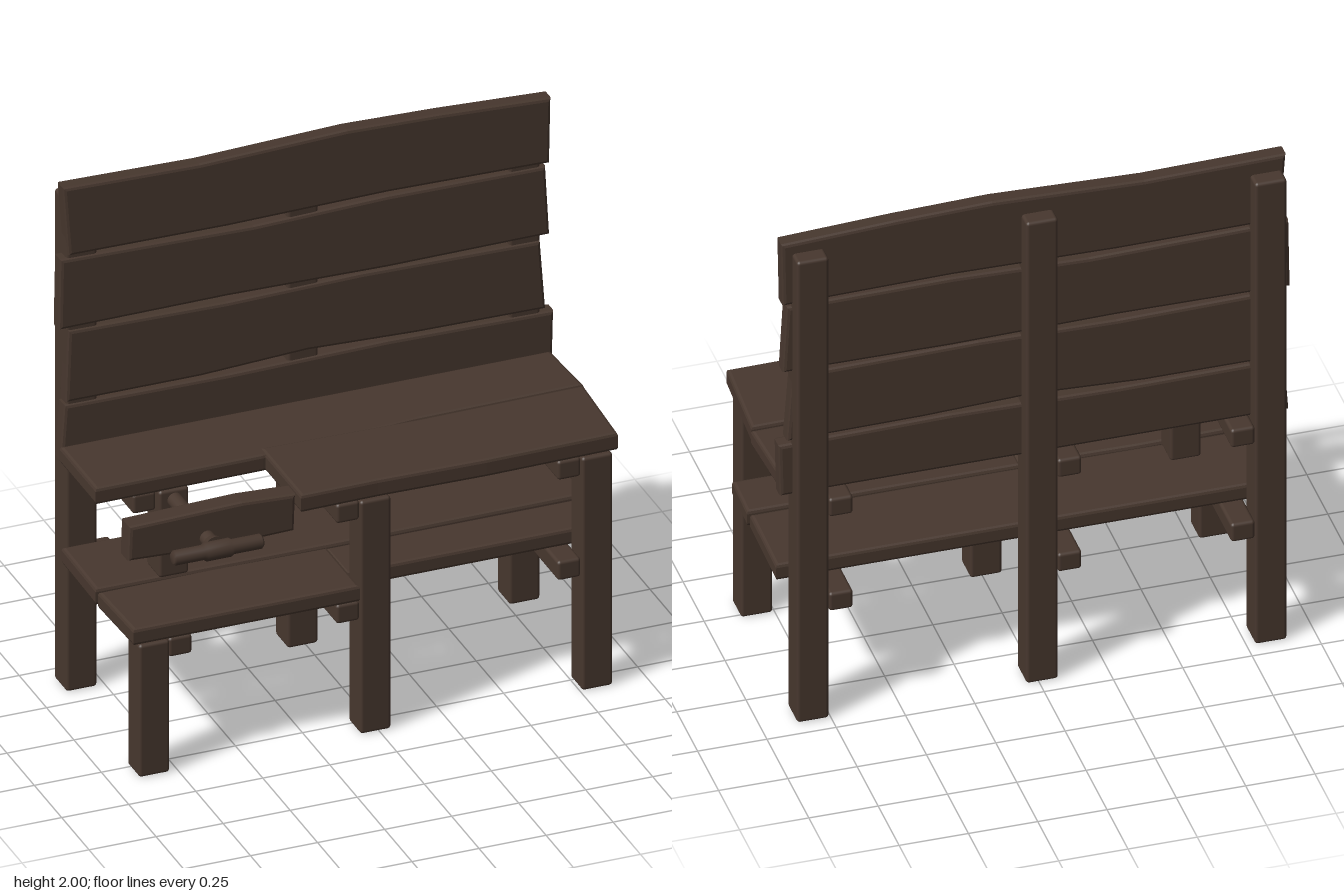
import * as THREE from 'three';
import { RoundedBoxGeometry } from 'three/addons/geometries/RoundedBoxGeometry.js';

export function createModel() {
  const bench = new THREE.Group();
  bench.name = 'workbench';
  const wood = new THREE.MeshStandardMaterial({ color: 0x47372e });
  wood.name = 'dark wood';

  const add = (name, geometry) => {
    const mesh = new THREE.Mesh(geometry, wood);
    mesh.name = name;
    bench.add(mesh);
    return mesh;
  };

  // Softly rounded beam given by its min and max corners
  const beam = (name, x0, x1, y0, y1, z0, z1) =>
    add(name, new RoundedBoxGeometry(x1 - x0, y1 - y0, z1 - z0, 2, 0.012))
      .position.set((x0 + x1) / 2, (y0 + y1) / 2, (z0 + z1) / 2);

  // Rough plank: an uneven outline extruded from 0 to thickness, with eased edges
  const plankGeometry = (outline, thickness) => {
    const bevel = 0.012;
    const shape = new THREE.Shape(outline.map(([x, y]) => new THREE.Vector2(x, y)));
    return new THREE.ExtrudeGeometry(shape, {
      depth: thickness - 2 * bevel, bevelEnabled: true, bevelThickness: bevel,
      bevelSize: bevel, bevelOffset: -bevel, bevelSegments: 2,
    }).translate(0, 0, bevel);
  };
  const uprightPlank = (name, outline, z0, z1) =>
    add(name, plankGeometry(outline, z1 - z0)).position.z = z0;
  // Outline in x and z, laid flat with its top at y1
  const flatPlank = (name, outline, y0, y1) =>
    add(name, plankGeometry(outline, y1 - y0).rotateX(Math.PI / 2)).position.y = y1;

  // Tall back posts, front legs and the rails beside them
  const bays = [
    { side: 'right', x0: -0.895, x1: -0.78, rail: -0.78, legTop: 0.52, railFront: 0.0 },
    { side: 'middle', x0: -0.07, x1: 0.045, rail: -0.155, legTop: 0.915, railFront: 0.33 },
    { side: 'left', x0: 0.757, x1: 0.872, rail: 0.67, legTop: 0.915, railFront: 0.33 },
  ];
  for (const { side, x0, x1, rail, legTop, railFront } of bays) {
    beam(side + 'BackPost', x0, x1, 0, 1.93, -0.44, -0.38 + 0.055);
    beam(side + 'FrontLeg', x0, x1, 0, legTop, 0.23, 0.34);
    beam(side + 'UpperRail', rail, rail + 0.087, 0.84, 0.915, -0.44, railFront);
    beam(side + 'LowerRail', rail, rail + 0.087, 0.445, 0.52, -0.44, 0.33);
  }

  // Wall of four uneven back planks
  const backPlanks = [
    [[-0.92, 0.92], [0.915, 0.92], [0.92, 1.13], [0.3, 1.14], [-0.3, 1.13], [-0.905, 1.135]],
    [[-0.9, 1.145], [-0.4, 1.145], [0, 1.165], [0.4, 1.15], [0.89, 1.145],
      [0.87, 1.415], [0.2, 1.425], [-0.3, 1.415], [-0.89, 1.425]],
    [[-0.925, 1.435], [-0.3, 1.44], [0.3, 1.43], [0.905, 1.435],
      [0.89, 1.705], [0.3, 1.71], [-0.2, 1.695], [-0.92, 1.71]],
    [[-0.89, 1.72], [-0.3, 1.715], [0.3, 1.725], [0.905, 1.715],
      [0.91, 1.97], [0.5, 1.99], [0.15, 2.0], [-0.4, 1.98], [-0.91, 1.99]],
  ];
  backPlanks.forEach((outline, i) => uprightPlank('backPlank' + (i + 1), outline, -0.38, -0.315));

  // Work surface: a full-length rear plank and a shorter front one
  flatPlank('rearTopPlank', [[-0.925, -0.315], [0.905, -0.315], [0.92, -0.045],
    [0.3, -0.035], [-0.3, 0.01], [-0.925, 0.015]], 0.915, 0.98);
  flatPlank('frontTopPlank', [[-0.29, -0.04], [0.3, -0.025], [0.915, -0.035],
    [0.895, 0.33], [0.4, 0.338], [0, 0.33], [-0.29, 0.335]], 0.915, 0.984);

  // Lower shelf, its front plank split by the middle leg
  flatPlank('rearShelfPlank', [[-0.92, -0.31], [0.91, -0.31], [0.905, 0.015],
    [0, 0.02], [-0.925, 0.015]], 0.52, 0.585);
  flatPlank('rightFrontShelfPlank', [[-0.925, 0.035], [-0.5, 0.028], [-0.07, 0.035],
    [-0.07, 0.335], [-0.915, 0.335]], 0.52, 0.585);
  flatPlank('leftFrontShelfPlank', [[-0.08, 0.035], [0.91, 0.035],
    [0.905, 0.23], [-0.08, 0.23]], 0.52, 0.583);

  // Vise: support post, movable jaw, screw, hub and handle
  beam('viseSupport', -0.69, -0.578, 0.58, 0.92, -0.095, 0.02);
  uprightPlank('viseJaw', [[-0.925, 0.845], [-0.6, 0.83], [-0.305, 0.838],
    [-0.3, 0.98], [-0.5, 0.99], [-0.92, 0.978]], 0.232, 0.315);
  const viseX = -0.632, viseY = 0.88;
  const screw = add('viseScrew', new THREE.CylinderGeometry(0.028, 0.028, 0.4, 16));
  screw.rotation.x = Math.PI / 2;
  screw.position.set(viseX, viseY, 0.2);
  const collar = add('viseCollar', new THREE.CylinderGeometry(0.045, 0.03, 0.04, 16));
  collar.rotation.x = Math.PI / 2;
  collar.position.set(viseX, viseY, 0.375);
  const turned = [[0, -0.168], [0.02, -0.168], [0.027, -0.16], [0.027, -0.055], [0.034, -0.045],
    [0.034, 0.045], [0.027, 0.055], [0.027, 0.16], [0.02, 0.168], [0, 0.168]];
  const handle = add('viseHandle',
    new THREE.LatheGeometry(turned.map(([r, y]) => new THREE.Vector2(r, y)), 16));
  handle.rotation.z = Math.PI / 2;
  handle.position.set(viseX, viseY, 0.407);

  return bench;
}
